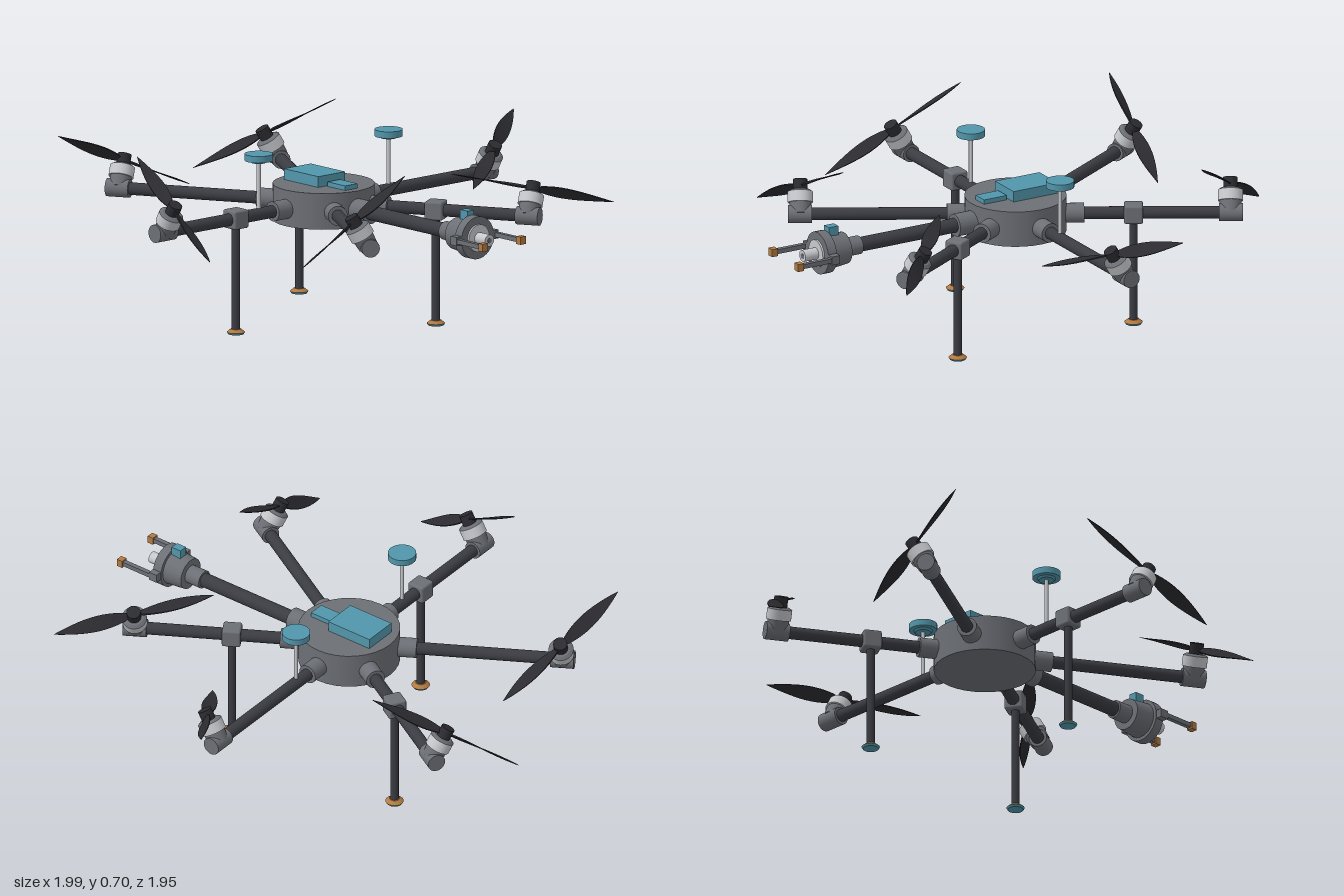
import * as THREE from 'three';
import { RoundedBoxGeometry } from 'three/addons/geometries/RoundedBoxGeometry.js';

const material = (name, color, side = THREE.FrontSide) => {
  const m = new THREE.MeshStandardMaterial({ color, side });
  m.name = name;
  return m;
};

export function createModel() {
  const grey = material('frame grey', 0x6c6f75);
  const carbon = material('carbon tube', 0x3b3c42);
  const black = material('rotor black', 0x2b2b30, THREE.DoubleSide);
  const silver = material('motor silver', 0xc6c8cc);
  const teal = material('teal', 0x5296ab);
  const orange = material('orange', 0xb27a42);

  const ARM_Y = 0.45, TIP = 0.82, TILT = Math.PI / 6;
  const model = new THREE.Group();
  model.name = 'hexacopter';

  const add = (parent, name, geometry, mat, x = 0, y = 0, z = 0) => {
    const mesh = new THREE.Mesh(geometry, mat);
    mesh.name = name;
    mesh.position.set(x, y, z);
    parent.add(mesh);
    return mesh;
  };
  // Upright cylinder between two heights
  const post = (parent, name, mat, rBottom, rTop, y0, y1, x = 0, z = 0) =>
    add(parent, name, new THREE.CylinderGeometry(rTop, rBottom, y1 - y0, 32), mat, x, (y0 + y1) / 2, z);
  // Cylinder lying along x between two distances
  const rod = (parent, name, mat, r0, r1, x0, x1, y = 0, z = 0) =>
    add(parent, name, new THREE.CylinderGeometry(r1, r0, x1 - x0, 32).rotateZ(-Math.PI / 2), mat, (x0 + x1) / 2, y, z);
  const box = (parent, name, mat, w, h, d, x, y, z) =>
    add(parent, name, new THREE.BoxGeometry(w, h, d), mat, x, y, z);

  // Leaf-shaped blade, twisted from root to tip
  function bladeGeometry(hand) {
    const g = new THREE.BoxGeometry(1, 1, 1, 18, 1, 4);
    const p = g.attributes.position;
    for (let i = 0; i < p.count; i++) {
      const t = p.getX(i) + 0.5;
      const chord = 0.012 * (1 - t) + 0.052 * Math.pow(Math.sin(Math.PI * Math.pow(t, 0.85)), 0.9);
      const pitch = hand * THREE.MathUtils.lerp(0.55, 0.12, t);
      const c = p.getZ(i) * chord;
      const h = p.getY(i) * 0.006 * (1 - 0.7 * t);
      p.setXYZ(i, 0.012 + 0.303 * t,
        h * Math.cos(pitch) + c * Math.sin(pitch),
        c * Math.cos(pitch) - h * Math.sin(pitch));
    }
    g.computeVertexNormals();
    return g;
  }

  // Everything radiates from the hub axis
  const body = new THREE.Group();
  body.name = 'airframe';
  body.position.set(-0.03, 0, 0.095);
  model.add(body);

  post(body, 'hub', grey, 0.195, 0.195, 0.383, 0.524);
  box(body, 'batteryBox', teal, 0.196, 0.042, 0.138, -0.05, 0.545, 0.002);
  box(body, 'controlBox', teal, 0.1, 0.018, 0.064, 0.108, 0.533, 0);

  // Motor and two-bladed rotor, leaning sideways about the arm
  function rotor(parent, lean, turn) {
    const unit = new THREE.Group();
    unit.name = 'rotor';
    unit.position.set(TIP, 0, 0);
    unit.rotation.x = -lean * TILT;
    parent.add(unit);
    post(unit, 'motorMount', grey, 0.038, 0.042, 0, 0.046);
    post(unit, 'motorBell', silver, 0.048, 0.048, 0.044, 0.086);
    post(unit, 'motorCap', grey, 0.048, 0.036, 0.086, 0.094);
    post(unit, 'propellerHub', black, 0.027, 0.027, 0.09, 0.135);
    const propeller = new THREE.Group();
    propeller.name = 'propeller';
    propeller.position.y = 0.112;
    propeller.rotation.y = THREE.MathUtils.degToRad(turn);
    unit.add(propeller);
    for (const flip of [0, Math.PI]) {
      add(propeller, 'blade', bladeGeometry(lean), black).rotation.y = flip;
    }
  }

  // Landing leg with clamp and foot
  function leg(parent) {
    const x = 0.45;
    add(parent, 'legClamp', new RoundedBoxGeometry(0.072, 0.072, 0.072, 2, 0.008), grey, x);
    post(parent, 'leg', carbon, 0.016, 0.016, 0.015 - ARM_Y, 0, x);
    post(parent, 'footCone', orange, 0.035, 0.02, 0.008 - ARM_Y, 0.02 - ARM_Y, x);
    post(parent, 'footPad', teal, 0.03, 0.035, -ARM_Y, 0.008 - ARM_Y, x);
  }

  // Six arms, alternating lean, legs on every second arm
  const turns = [20, 37, 69, 52, 80, -59];
  turns.forEach((turn, i) => {
    const arm = new THREE.Group();
    arm.name = 'arm';
    arm.position.y = ARM_Y;
    arm.rotation.y = Math.PI / 6 + i * Math.PI / 3;
    body.add(arm);
    rod(arm, 'armSocket', grey, 0.038, 0.038, 0.15, 0.262);
    rod(arm, 'armTube', carbon, 0.024, 0.024, 0.15, 0.8);
    rod(arm, 'armEnd', grey, 0.035, 0.035, 0.776, 0.867);
    rotor(arm, i % 2 ? -1 : 1, turn);
    if (i % 2 === 0) leg(arm);
  });

  // Antennas on the front and back arms
  for (const z of [-0.333, 0.333]) {
    post(body, 'antennaMast', silver, 0.008, 0.008, 0.46, 0.66, 0, z);
    post(body, 'antennaNeck', teal, 0.03, 0.036, 0.652, 0.661, 0, z);
    post(body, 'antennaDisc', teal, 0.054, 0.054, 0.66, 0.686, 0, z);
  }

  // Tool boom pointing to the left side
  const boom = new THREE.Group();
  boom.name = 'toolBoom';
  boom.position.set(0, ARM_Y, 0.095);
  model.add(boom);
  rod(boom, 'boomSocket', grey, 0.044, 0.044, 0.12, 0.24);
  rod(boom, 'boomTube', carbon, 0.028, 0.028, 0.14, 0.7);
  rod(boom, 'boomCollar', grey, 0.036, 0.036, 0.665, 0.735);
  rod(boom, 'toolBody', grey, 0.062, 0.07, 0.73, 0.815);
  rod(boom, 'toolFlange', grey, 0.083, 0.083, 0.81, 0.848);
  rod(boom, 'toolFace', silver, 0.053, 0.053, 0.848, 0.856);
  rod(boom, 'toolShaft', silver, 0.023, 0.023, 0.85, 0.915);
  rod(boom, 'shaftBore', grey, 0.01, 0.01, 0.91, 0.917);
  box(boom, 'sensor', teal, 0.042, 0.04, 0.034, 0.787, 0.08, 0);

  // Gripper fingers
  for (const side of [-1, 1]) {
    box(boom, 'fingerBracket', grey, 0.036, 0.034, 0.035, 0.83, 0, side * 0.09);
    box(boom, 'finger', grey, 0.16, 0.018, 0.018, 0.9, 0, side * 0.097);
    box(boom, 'fingerTip', orange, 0.025, 0.03, 0.028, 0.987, 0, side * 0.097);
  }
  return model;
}
